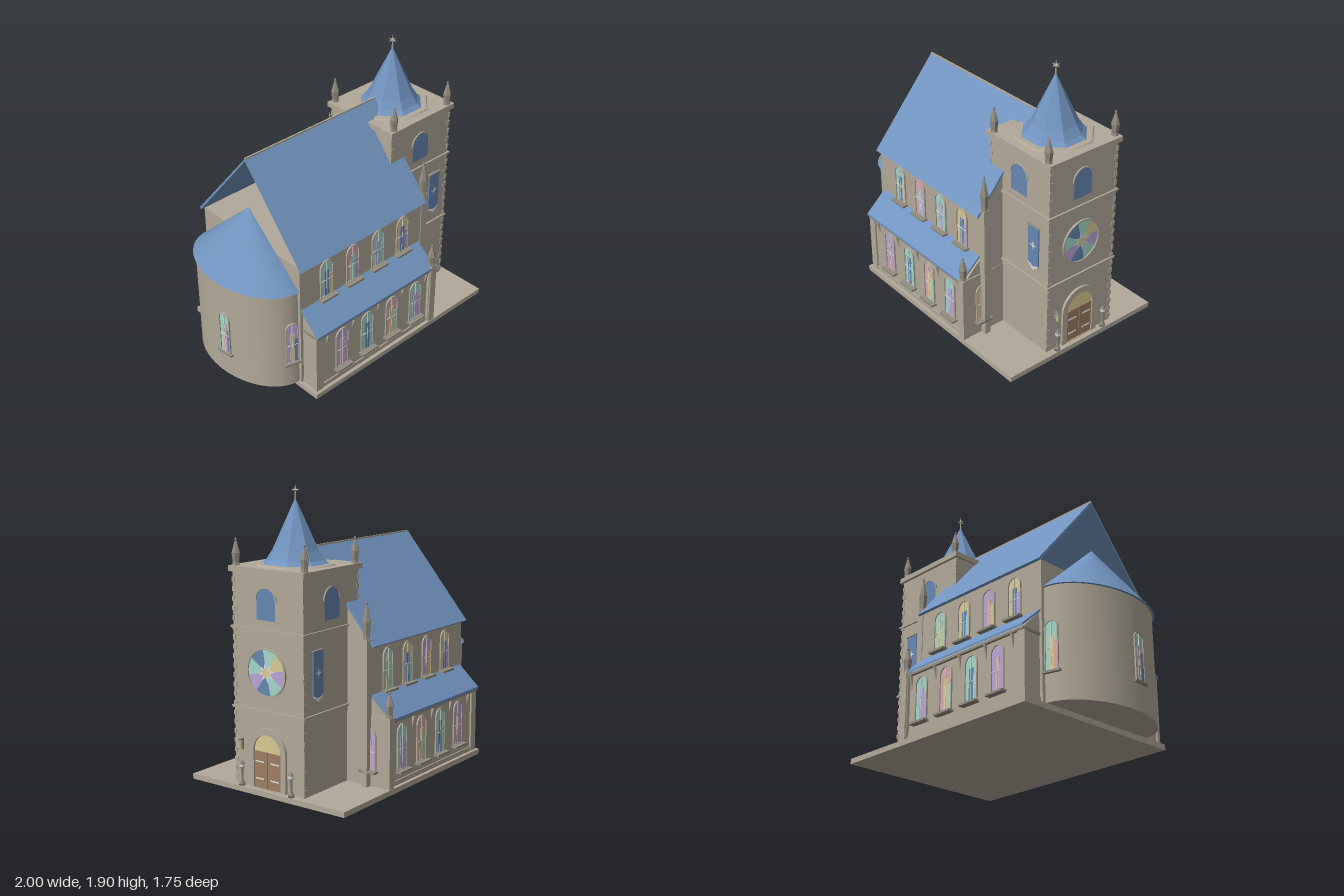
import * as THREE from 'three';

const mat = (name, color) => {
  const m = new THREE.MeshStandardMaterial({ color });
  m.name = name;
  return m;
};

export function createModel() {
  const stone = mat('stone', 0xb1a999), trim = mat('darkStone', 0x928c80), roof = mat('roofBlue', 0x7193be),
    blue = mat('deepBlue', 0x6787b3), teal = mat('tealGlass', 0xa2d6ca), pink = mat('pinkGlass', 0xd6a8ae),
    lilac = mat('lilacGlass', 0xb9a5d6), gold = mat('goldGlass', 0xd8c994), wood = mat('wood', 0x9c7d62),
    pale = mat('paleMetal', 0xdcdcd8);

  const model = new THREE.Group();
  const church = new THREE.Group();
  church.name = 'church';
  church.rotation.y = THREE.MathUtils.degToRad(24);
  church.position.set(0.004, 0, 0.009);
  model.add(church);

  const add = (name, geo, m, x = 0, y = 0, z = 0, parent = church) => {
    const mesh = new THREE.Mesh(geo, m);
    mesh.name = name;
    mesh.position.set(x, y, z);
    parent.add(mesh);
    return mesh;
  };
  // box given by its minimum and maximum corners
  const box = (name, m, x0, x1, y0, y1, z0, z1, parent = church) =>
    add(name, new THREE.BoxGeometry(x1 - x0, y1 - y0, z1 - z0), m, (x0 + x1) / 2, (y0 + y1) / 2, (z0 + z1) / 2, parent);
  const extrude = (s, depth) => new THREE.ExtrudeGeometry(s, { depth, bevelEnabled: false, curveSegments: 12 });
  const poly = (pts) => new THREE.Shape(pts.map((p) => new THREE.Vector2(...p)));
  // group whose own +z looks out of a wall
  const onWall = (name, x, y, z, ry) => {
    const g = new THREE.Group();
    g.name = name;
    g.position.set(x, y, z);
    g.rotation.y = ry;
    church.add(g);
    return g;
  };
  // symmetric cross-section swept along the length of the nave
  const sweep = (name, m, pts, x0, x1) => {
    const all = [...pts, ...pts.filter((p) => p[0] > 0).reverse().map(([a, b]) => [-a, b])];
    const mesh = add(name, extrude(poly(all), x1 - x0), m, x0);
    mesh.rotation.y = Math.PI / 2;
  };
  const arch = (w, h, C = THREE.Shape, y0 = 0) => {
    const s = new C();
    s.moveTo(-w, y0);
    s.lineTo(w, y0);
    s.lineTo(w, h - w);
    s.absarc(0, h - w, w, 0, Math.PI, false);
    s.closePath();
    return s;
  };
  const archFrame = (w, h, t, depth) => {
    const s = arch(w + t, h + t, THREE.Shape);
    s.holes.push(arch(w, h, THREE.Path, 0.004));
    return extrude(s, depth);
  };

  // stained glass window: frame, outer glass, two inner panels, glazing bars and sill
  const stainedWindow = (x, y, z, ry, w, h, [a, b, c], sill = 0.042) => {
    const g = onWall('window', x, y, z, ry);
    add('windowFrame', archFrame(w, h, 0.007, 0.01), stone, 0, 0, 0, g);
    add('outerGlass', new THREE.ShapeGeometry(arch(w, h)), a, 0, 0, 0.003, g);
    box('middlePanel', b, -w * 0.35, w * 0.4, 0, h * 0.74, 0.003, 0.006, g);
    box('sidePanel', c, w * 0.4, w, 0, h * 0.6, 0.003, 0.006, g);
    box('mullion', pale, -0.002, 0.002, 0, h - 0.004, 0.003, 0.008, g);
    box('crossBar', pale, -w, w, h * 0.45, h * 0.45 + 0.004, 0.003, 0.008, g);
    box('sill', trim, -w - 0.02, w + 0.02, -0.014, 0, 0, sill, g);
  };

  // pinnacle: hexagonal shaft, pointed cap and small finial
  const pinnacle = (x, y, z, h, r) => {
    const pts = [[0, 0], [r, 0], [r * 0.85, h * 0.12], [r * 1.1, h * 0.45], [r * 0.35, h * 0.82], [r * 0.15, h * 0.86],
      [r * 0.35, h * 0.9], [0, h]].map((p) => new THREE.Vector2(...p));
    const geo = new THREE.LatheGeometry(pts, 6).toNonIndexed();
    geo.computeVertexNormals();
    add('pinnacle', geo, trim, x, y, z);
  };

  // ground slab
  box('baseSlab', stone, -0.75, 0.817, 0, 0.035, -0.607, 0.607);

  // nave with an open-ended roof, and lower aisles
  sweep('naveWalls', stone, [[0.453, 0.035], [0.453, 0.935]], -0.738, 0.335);
  sweep('naveRoof', roof, [[0, 1.492], [0.475, 0.918], [0.487, 0.928], [0, 1.51]], -0.75, 0.345);
  sweep('frontGable', stone, [[0.453, 0.93], [0, 1.49]], 0.31, 0.335);
  box('naveRidge', stone, -0.75, 0.345, 1.503, 1.514, -0.005, 0.005);
  sweep('aisleWalls', stone, [[0.575, 0.035], [0.575, 0.478], [0.456, 0.595]], -0.718, 0.33);
  sweep('aislePlinth', stone, [[0.583, 0.035], [0.583, 0.065]], -0.722, 0.33);
  sweep('aisleRoof', roof, [[0.45, 0.604], [0.602, 0.465], [0.602, 0.481], [0.45, 0.62]], -0.73, 0.32);
  sweep('aisleGutter', trim, [[0.594, 0.45], [0.594, 0.466]], -0.726, 0.32);

  const lowGlass = [[lilac, pink, lilac], [teal, blue, teal], [pink, gold, teal], [teal, lilac, lilac]];
  const highGlass = [[teal, blue, gold], [pink, teal, lilac], [teal, lilac, teal], [gold, blue, lilac]];
  const backHighGlass = [[gold, blue, lilac], [lilac, pink, gold], [gold, blue, teal], [teal, gold, teal]];
  for (const s of [1, -1]) {
    const ry = s > 0 ? 0 : Math.PI;
    for (let i = 0; i < 4; i++) {
      const u = -0.503 + 0.224 * i;
      stainedWindow(u, 0.125, s * 0.575, ry, 0.048, 0.292, lowGlass[i]);
      stainedWindow(u - 0.016, 0.625, s * 0.453, ry, 0.048, 0.262, (s > 0 ? highGlass : backHighGlass)[i]);
    }
    // sloping brackets below the aisle eaves
    for (let i = 0; i < 5; i++) {
      const c = add('eaveBracket', extrude(poly([[0, 0], [s * 0.02, 0.085], [0, 0.085]]), 0.012), stone,
        -0.621 + 0.224 * i, 0.365, s * 0.575);
      c.rotation.y = -Math.PI / 2;
    }
    box('cornerPier', stone, -0.73, -0.67, 0.035, 0.45, s * 0.575 - 0.012, s * 0.575 + 0.012);
    // front end of the aisle and its buttresses
    const z0 = Math.min(s * 0.27, s * 0.595), z1 = Math.max(s * 0.27, s * 0.595);
    box('aisleEndWall', stone, 0.285, 0.338, 0.035, 0.49, z0, z1);
    stainedWindow(0.338, 0.14, s * 0.452, Math.PI / 2, 0.042, 0.26, s > 0 ? [gold, pink, lilac] : [lilac, pink, lilac]);
    box('lowButtress', stone, 0.29, 0.342, 0.035, 0.49, s * 0.58 - 0.024, s * 0.58 + 0.024);
    pinnacle(0.314, 0.49, s * 0.58, 0.17, 0.026);
    box('tallButtress', stone, 0.33, 0.38, 0.035, 0.97, s * 0.437 - 0.021, s * 0.437 + 0.021);
    pinnacle(0.357, 0.96, s * 0.437, 0.26, 0.026);
  }

  // rounded apse
  const a = 0.285, b = 0.432, ax = -0.738;
  const wall = new THREE.CylinderGeometry(1, 1, 0.725, 36, 1, false, Math.PI, Math.PI).scale(a, 1, b);
  add('apseWall', wall, stone, ax, 0.3975, 0);
  const cone = new THREE.ConeGeometry(1, 0.405, 36, 1, false, Math.PI, Math.PI).scale(0.302, 1, 0.447);
  add('apseRoof', cone, roof, ax, 0.9575, 0);
  const apseGlass = [[teal, gold, pink], [teal, pink, blue], [lilac, gold, blue]];
  [-80, 8, 80].forEach((deg, i) => {
    const t = THREE.MathUtils.degToRad(deg), c = Math.cos(t), n = Math.sin(t);
    stainedWindow(ax - a * c, 0.22, b * n, Math.atan2(-c / a, n / b), 0.038, 0.305, apseGlass[i], 0.02);
  });

  // tower
  const tx = 0.496, h = 0.275;
  const slab = (name, m, half, y0, y1) => box(name, m, tx - half, tx + half, y0, y1, -half, half);
  slab('towerBody', stone, h, 0.035, 1.385);
  slab('lowerBand', stone, h + 0.012, 0.525, 0.54);
  slab('upperBand', stone, h + 0.012, 1.03, 1.045);
  slab('towerPlatform', stone, 0.294, 1.38, 1.415);
  for (const sx of [1, -1]) for (const sz of [1, -1]) {
    pinnacle(tx + sx * 0.25, 1.412, sz * 0.267, 0.175, 0.025);
    // corner quoins
    for (let i = 0; i < 22; i++) {
      const l = i % 2 ? 0.018 : 0.028, y = 0.07 + i * 0.06;
      add('quoin', new THREE.BoxGeometry(l, 0.03, l), stone, tx + sx * (h + 0.004 - l / 2), y, sz * (h + 0.004 - l / 2));
    }
  }

  // flared eight-sided spire with a star finial
  const base = add('spireBase', new THREE.CylinderGeometry(0.25, 0.26, 0.01, 8), stone, tx, 1.419, 0);
  const spireGeo = new THREE.LatheGeometry([[0.216, 1.42], [0.185, 1.447], [0.15, 1.5], [0, 1.822]]
    .map((p) => new THREE.Vector2(...p)), 8).toNonIndexed();
  spireGeo.computeVertexNormals();
  const spire = add('spire', spireGeo, roof, tx, 0, 0);
  base.rotation.y = spire.rotation.y = Math.PI / 8;
  add('finialStem', new THREE.CylinderGeometry(0.004, 0.006, 0.06, 6), stone, tx, 1.835, 0);
  for (const k of [[0.036, 0.009, 0.009], [0.009, 0.036, 0.009], [0.009, 0.009, 0.036]])
    add('finialStar', new THREE.OctahedronGeometry(1).scale(...k), stone, tx, 1.868, 0);

  // belfry openings on every free side
  for (const [x, z, ry] of [[tx + h, 0.01, Math.PI / 2], [tx, h, 0], [tx, -h, Math.PI]]) {
    const g = onWall('belfryOpening', x, 1.1, z, ry);
    add('belfryLouvre', new THREE.ShapeGeometry(arch(0.073, 0.195)), blue, 0, 0, 0.004, g);
    const ring = new THREE.Shape();
    ring.absarc(0, 0.122, 0.084, 0, Math.PI, false);
    ring.absarc(0, 0.122, 0.074, Math.PI, 0, true);
    add('belfryArch', extrude(ring, 0.008), stone, 0, 0, 0, g);
  }

  // hanging banners with a pale star and tip
  for (const s of [1, -1]) {
    const g = onWall('banner', 0.643, 0, s * h, s > 0 ? 0 : Math.PI);
    add('bannerCloth', extrude(poly([[-0.048, 0.655], [0, 0.632], [0.048, 0.655], [0.048, 0.93], [-0.048, 0.93]]), 0.008), blue, 0, 0, 0.004, g);
    add('bannerTip', extrude(poly([[-0.048, 0.66], [-0.04, 0.642], [0, 0.615], [0.04, 0.642], [0.048, 0.66], [0, 0.638]]), 0.009), pale, 0, 0, 0.004, g);
    box('bannerRod', trim, -0.053, 0.053, 0.93, 0.936, 0, 0.018, g);
    const star = Array.from({ length: 8 }, (_, i) => {
      const r = i % 2 ? 0.01 : 0.036, t = i * Math.PI / 4;
      return [r * Math.cos(t), 0.795 + r * Math.sin(t)];
    });
    add('bannerStar', new THREE.ShapeGeometry(poly(star)), pale, 0, 0, 0.014, g);
  }

  // round petal window above the door
  const rose = onWall('roseWindow', tx + h, 0.778, 0.01, Math.PI / 2);
  const hoop = new THREE.Shape().absarc(0, 0, 0.153, 0, Math.PI * 2, false);
  hoop.holes.push(new THREE.Path().absarc(0, 0, 0.143, 0, Math.PI * 2, true));
  add('roseRim', new THREE.ExtrudeGeometry(hoop, { depth: 0.012, bevelEnabled: false, curveSegments: 32 }), stone, 0, 0, 0, rose);
  [lilac, gold, teal, blue, teal, lilac, blue, teal].forEach((m, i) =>
    add('rosePetal', new THREE.CircleGeometry(0.145, 6, (i - 0.75) * Math.PI / 4, Math.PI / 4), m, 0, 0, 0.004, rose));
  const rays = Array.from({ length: 16 }, (_, i) => {
    const r = i % 2 ? 0.028 : 0.07, t = (i + 0.5) * Math.PI / 8;
    return [r * Math.cos(t), r * Math.sin(t)];
  });
  add('roseStar', new THREE.ShapeGeometry(poly(rays)), pale, 0, 0, 0.007, rose);
  add('roseCentre', new THREE.CircleGeometry(0.028, 16), gold, 0, 0, 0.01, rose);

  // main door
  const door = onWall('entrance', tx + h, 0.035, 0.006, Math.PI / 2);
  add('doorArch', archFrame(0.107, 0.352, 0.04, 0.016), stone, 0, 0, 0, door);
  add('doorLight', new THREE.ShapeGeometry(arch(0.107, 0.352)), gold, 0, 0, 0.003, door);
  for (const s of [1, -1]) {
    box('doorLeaf', wood, s * 0.053 - 0.051, s * 0.053 + 0.051, 0, 0.238, 0, 0.01, door);
    for (const y of [0.06, 0.17]) box('doorHinge', pale, s * 0.06 - 0.034, s * 0.06 + 0.034, y, y + 0.008, 0.008, 0.014, door);
    // lamp posts beside the door
    const post = [[0, 0], [0.02, 0], [0.018, 0.02], [0.008, 0.03], [0.008, 0.105], [0.016, 0.115], [0.016, 0.14], [0.006, 0.155], [0, 0.168]];
    add('lampPost', new THREE.LatheGeometry(post.map((p) => new THREE.Vector2(...p)), 8), trim, s * 0.197, 0, 0.025, door);
    add('lampGlobe', new THREE.CylinderGeometry(0.017, 0.017, 0.016, 8), pale, s * 0.197, 0.127, 0.025, door);
  }

  // wall lantern
  box('lanternBracket', trim, -0.21, -0.2, 0.225, 0.3, 0, 0.012, door);
  box('lanternArm', trim, -0.209, -0.201, 0.29, 0.298, 0, 0.035, door);
  add('lanternGlass', new THREE.CylinderGeometry(0.016, 0.011, 0.04, 6), gold, -0.205, 0.258, 0.03, door);
  add('lanternCap', new THREE.ConeGeometry(0.02, 0.02, 6), trim, -0.205, 0.288, 0.03, door);

  return model;
}
